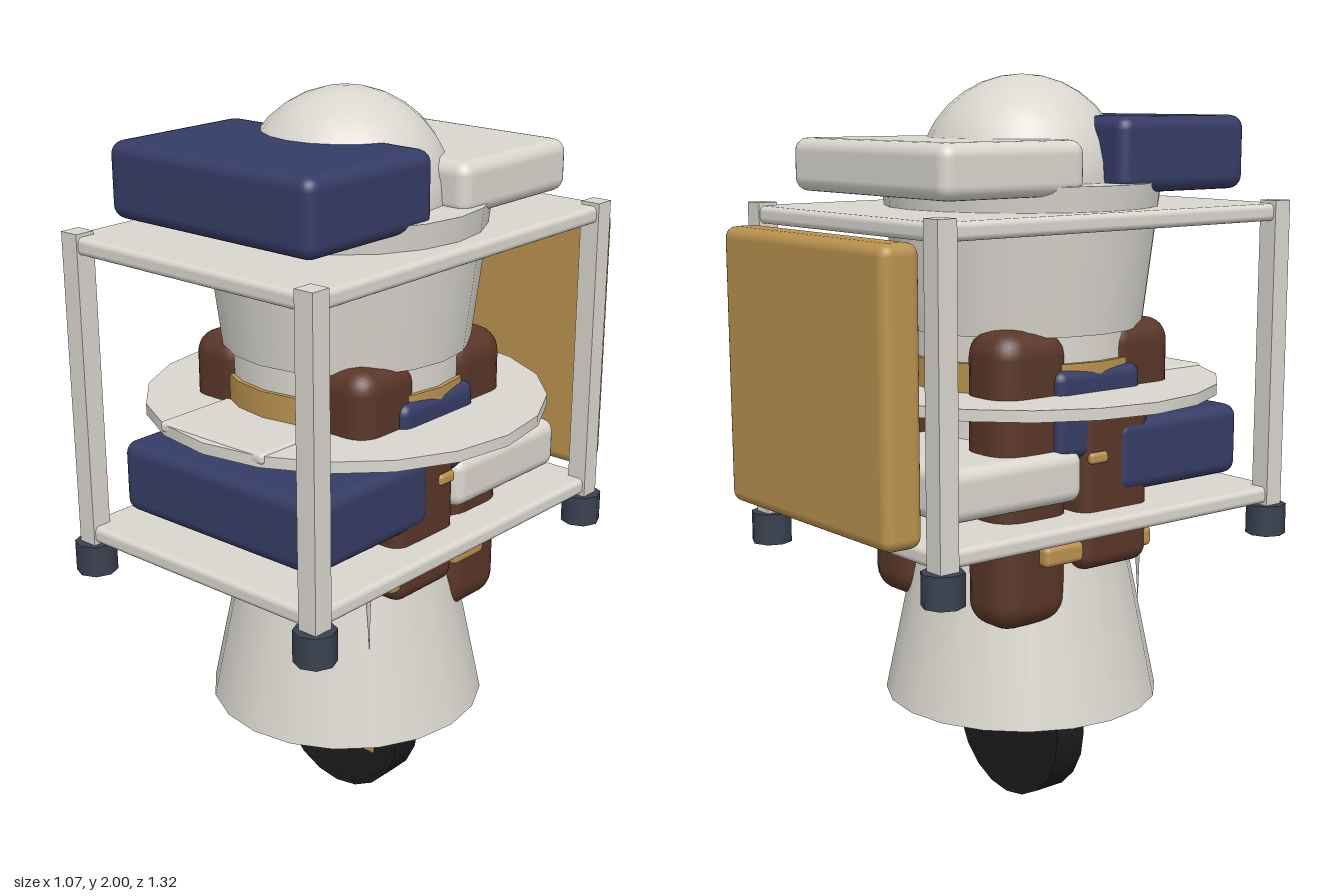
import * as THREE from 'three';
import { RoundedBoxGeometry } from 'three/addons/geometries/RoundedBoxGeometry.js';

const mat = (name, color) => {
  const m = new THREE.MeshStandardMaterial({ color });
  m.name = name;
  return m;
};

export function createModel() {
  const white = mat('warm white', 0xd9d6ce);
  const navy = mat('navy', 0x353c66);
  const tan = mat('tan', 0xba924f);
  const brown = mat('brown', 0x5a3628);
  const black = mat('black', 0x1c1c1c);
  const slate = mat('slate', 0x3a4250);

  const root = new THREE.Group();
  const CZ = 0.043; // depth of the central axis

  const add = (name, geo, material, x = 0, y = 0, z = 0) => {
    const m = new THREE.Mesh(geo, material);
    m.name = name;
    m.position.set(x, y, z);
    root.add(m);
    return m;
  };
  // rounded or sharp box given by its limits
  const box = (name, material, [x0, x1], [y0, y1], [z0, z1], r = 0) => {
    const s = [x1 - x0, y1 - y0, z1 - z0];
    const geo = r ? new RoundedBoxGeometry(...s, 3, r) : new THREE.BoxGeometry(...s);
    return add(name, geo, material, (x0 + x1) / 2, (y0 + y1) / 2, (z0 + z1) / 2);
  };
  // the same box on both sides
  const pair = (name, material, [x0, x1], y, z, r) => {
    box(name + 'Left', material, [x0, x1], y, z, r);
    box(name + 'Right', material, [-x1, -x0], y, z, r);
  };
  // upright round part between two heights
  const round = (name, material, rBottom, rTop, y0, y1, sides = 20, x = 0, z = CZ) =>
    add(name, new THREE.CylinderGeometry(rTop, rBottom, y1 - y0, sides), material, x, (y0 + y1) / 2, z);

  // wheel with a front plate
  const wheel = add('wheel', new THREE.CylinderGeometry(0.222, 0.222, 0.095, 20), black, 0, 0.222, 0.0385);
  wheel.rotation.x = Math.PI / 2;
  const rim = add('wheelRim', new THREE.TorusGeometry(0.205, 0.008, 6, 20), black, 0, 0.222, 0.082);
  rim.scale.z = 0.8;
  box('wheelPlate', tan, [-0.14, 0.14], [0.145, 0.33], [0.08, 0.089]);

  // tapered body, collar and tall crown
  round('skirt', white, 0.379, 0.2, 0.31, 1.17);
  round('collarBand', tan, 0.322, 0.322, 1.18, 1.27);
  round('neck', white, 0.31, 0.31, 1.26, 1.36);
  round('crown', white, 0.328, 0.375, 1.34, 1.72);
  add('dome', new THREE.SphereGeometry(0.277, 20, 8, 0, Math.PI * 2, 0, Math.PI / 2), white, 0, 1.72, CZ);

  // wide brim with a front tray
  round('brim', white, 0.535, 0.535, 1.163, 1.193);
  box('frontTray', white, [-0.18, 0.18], [1.17, 1.2], [0.31, 0.555], 0.012);

  // face panel, eyes and mouth
  box('face', tan, [-0.23, 0.23], [0.875, 1.165], [0.1, 0.27], 0.02);
  pair('cheek', white, [0.2, 0.27], [0.87, 1.165], [0.1, 0.25], 0.02);
  for (const s of [-1, 1]) {
    const eye = add('eye', new THREE.SphereGeometry(0.06, 16, 10), black, s * 0.12, 1.08, 0.27);
    eye.scale.z = 0.7;
    add('eyeGlint', new THREE.SphereGeometry(0.015, 10, 8), white, s * 0.12 - 0.015, 1.115, 0.305);
  }
  const mouth = add('mouth', new THREE.TorusGeometry(0.09, 0.012, 8, 20, Math.PI), black, 0, 0.97, 0.272);
  mouth.rotation.z = Math.PI;

  // thin hanging points beside the face
  for (const s of [-1, 1]) {
    const point = add('hangingPoint', new THREE.ConeGeometry(0.035, 0.59, 8), white, s * 0.25, 0.87, 0.247);
    point.rotation.set(0, 0, Math.PI + s * 0.03);
    point.scale.z = 0.55;
  }

  // side bags, straps and buckles
  pair('frontPouch', brown, [0.13, 0.305], [1.12, 1.362], [0.1, 0.325], 0.06);
  pair('sideBag', brown, [0.14, 0.332], [0.715, 1.19], [-0.02, 0.22], 0.04);
  pair('rearBag', brown, [0.12, 0.305], [0.58, 1.362], [-0.265, -0.025], 0.07);
  pair('shoulder', navy, [0.15, 0.325], [1.02, 1.255], [-0.1, 0.19], 0.03);
  pair('smallBuckle', tan, [0.3, 0.342], [1.005, 1.035], [0.0, 0.06], 0.01);
  pair('frontBuckle', tan, [0.27, 0.325], [0.75, 0.805], [0.19, 0.235], 0.015);
  pair('rearBuckle', tan, [0.27, 0.335], [0.75, 0.805], [-0.145, -0.015], 0.015);

  // frame: two shelves, four posts, four feet
  for (const y of [0.83, 1.61])
    box('shelf', white, [-0.415, 0.415], [y, y + 0.046], [-0.545, 0.628], 0.015);
  for (const x of [-0.394, 0.394])
    for (const z of [-0.52, 0.605]) {
      box('post', white, [x - 0.028, x + 0.028], [0.825, 1.665], [z - 0.028, z + 0.028]);
      round('foot', slate, 0.055, 0.055, 0.74, 0.825, 8, x, z);
    }

  // cushions on both shelves and the back panel
  for (const y of [0.91, 1.695]) {
    box('frontCushion', navy, [-0.338, 0.338], [y, y + 0.195], [0.098, 0.548], 0.035);
    box('rearCushion', white, [-0.338, 0.338], [y, y + 0.138], [-0.465, -0.018], 0.035);
  }
  box('backPanel', tan, [-0.366, 0.366], [0.88, 1.61], [-0.662, -0.55], 0.03);

  return root;
}
